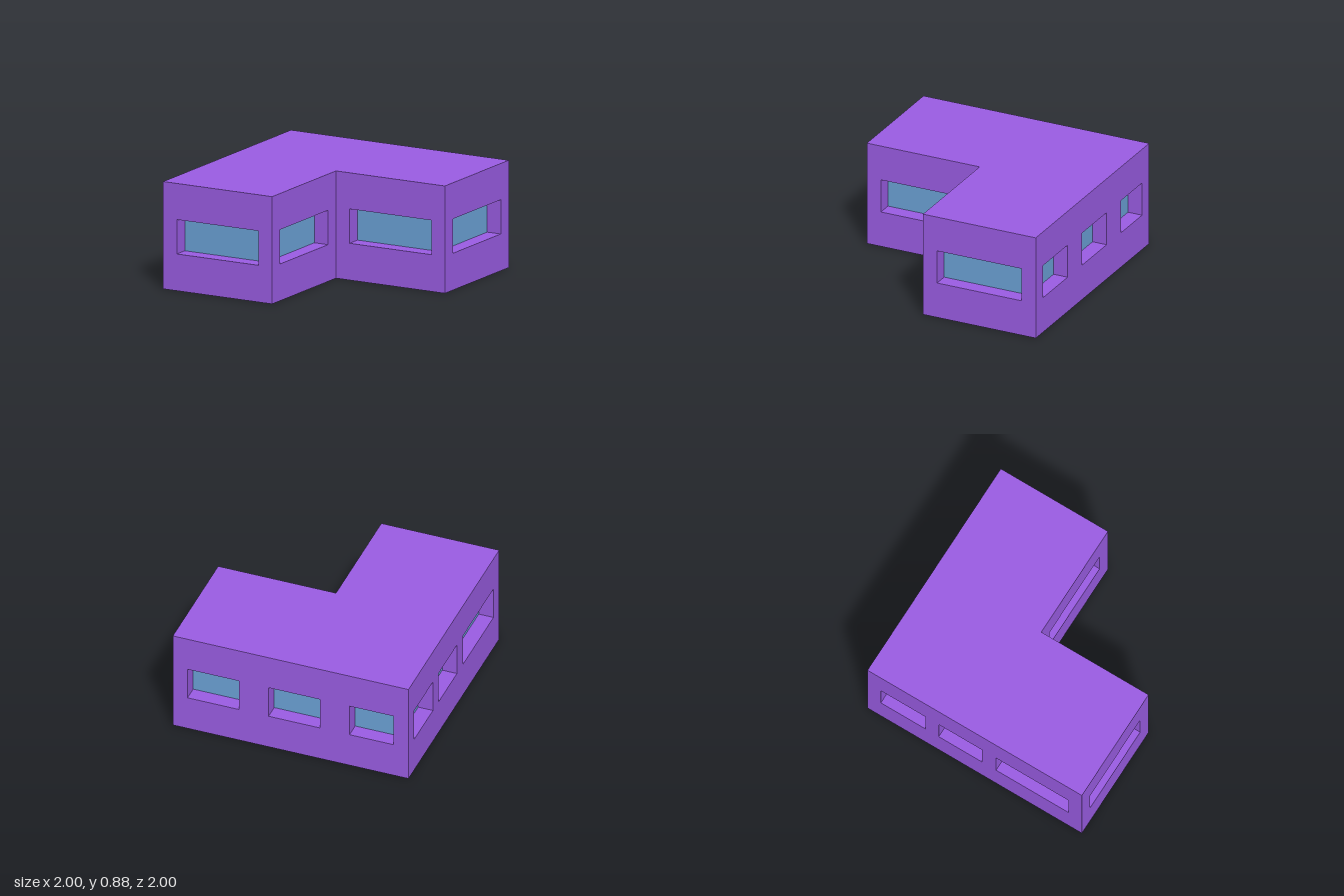
import * as THREE from 'three';

const H = 0.875, DEPTH = 0.125, SILL = 0.3, HEAD = 0.58;

// L-shaped plan as [x, z] corners; the corner at the origin is the inner one
const plan = [[-1, 1], [0, 1], [0, 0], [1, 0], [1, -1], [-1, -1]];
const INNER = 2;

// window spans along each wall, measured from the wall's first corner
const single = [[0.125, 0.875]];
const windows = [
  single, single, single, single,
  [[0.125, 0.5625], [0.8125, 1.25], [1.5, 1.875]],
  [[0.125, 0.54], [0.665, 1.07], [1.2, 1.875]],
];

const wallMat = new THREE.MeshStandardMaterial({ color: 0x9b5de5 });
const glassMat = new THREE.MeshStandardMaterial({ color: 0x6ca3d8 });

function addMesh(parent, name, geometry, material) {
  const mesh = new THREE.Mesh(geometry, material);
  mesh.name = name;
  parent.add(mesh);
  return mesh;
}

function polygon(points) {
  return new THREE.Shape(points.map(([x, y]) => new THREE.Vector2(x, y)));
}

function rectangle(x0, y0, x1, y1) {
  return polygon([[x0, y0], [x1, y0], [x1, y1], [x0, y1]]);
}

// Wall slab with window openings, mitred on all four edges
function wallGeometry(length, spans, startInset, endInset) {
  const shape = rectangle(0, 0, length, H);
  for (const [a, b] of spans) shape.holes.push(rectangle(a, SILL, b, HEAD));
  const geometry = new THREE.ExtrudeGeometry(shape, { depth: DEPTH, bevelEnabled: false });
  geometry.translate(0, 0, -DEPTH);
  const p = geometry.attributes.position;
  for (let i = 0; i < p.count; i++) {
    if (p.getZ(i) > -DEPTH / 2) continue;
    const x = p.getX(i), y = p.getY(i);
    if (x < 1e-4) p.setX(i, startInset);
    if (x > length - 1e-4) p.setX(i, length - endInset);
    if (y < 1e-4) p.setY(i, DEPTH);
    if (y > H - 1e-4) p.setY(i, H - DEPTH);
  }
  geometry.computeVertexNormals();
  return geometry;
}

export function createModel() {
  const building = new THREE.Group();
  building.name = 'building';

  // Walls with recessed window panes
  plan.forEach(([x0, z0], i) => {
    const next = (i + 1) % plan.length;
    const [x1, z1] = plan[next];
    const side = new THREE.Group();
    side.name = 'wallSide' + (i + 1);
    side.position.set(x0, 0, z0);
    side.rotation.y = Math.atan2(z0 - z1, x1 - x0);
    building.add(side);

    const inset = (corner) => (corner === INNER ? -DEPTH : DEPTH);
    const length = Math.hypot(x1 - x0, z1 - z0);
    addMesh(side, 'wall', wallGeometry(length, windows[i], inset(i), inset(next)), wallMat);
    for (const [a, b] of windows[i]) {
      const pane = addMesh(side, 'windowPane', new THREE.PlaneGeometry(b - a, HEAD - SILL), glassMat);
      pane.position.set((a + b) / 2, (SILL + HEAD) / 2, -DEPTH);
    }
  });

  // Flat roof and floor
  const roof = new THREE.ShapeGeometry(polygon(plan.map(([x, z]) => [x, -z])));
  addMesh(building, 'roof', roof.rotateX(-Math.PI / 2), wallMat).position.y = H;
  const floor = new THREE.ShapeGeometry(polygon(plan));
  addMesh(building, 'floor', floor.rotateX(Math.PI / 2), wallMat);

  return building;
}
